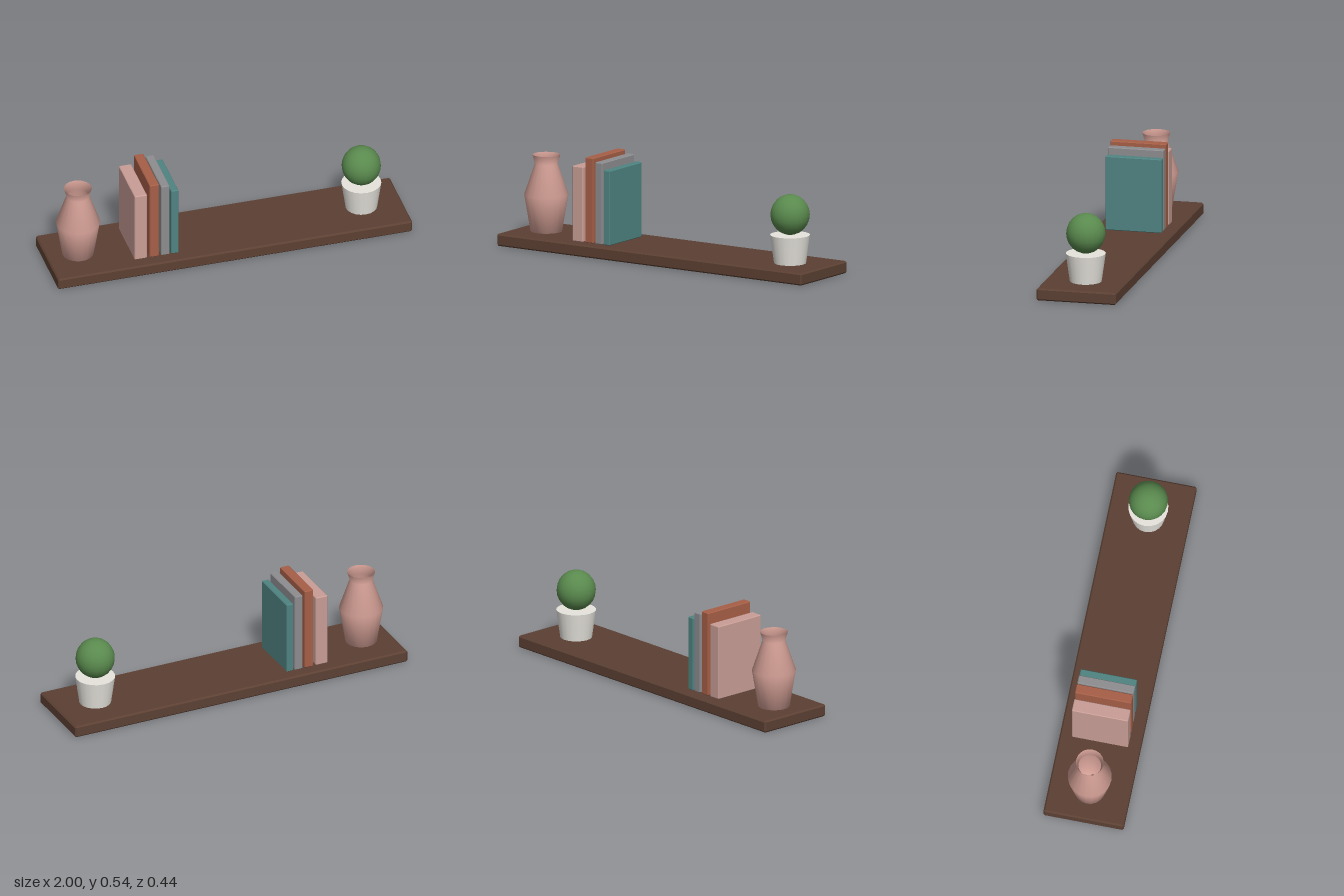
import * as THREE from 'three';
import { ConvexGeometry } from 'three/addons/geometries/ConvexGeometry.js';

function material(name, color, side = THREE.FrontSide) {
  const m = new THREE.MeshStandardMaterial({ color, side });
  m.name = name;
  return m;
}

// Box with every edge cut by a single flat chamfer
function chamferBox(w, h, d, c) {
  const points = [];
  for (const sx of [-1, 1]) for (const sy of [-1, 1]) for (const sz of [-1, 1]) {
    const x = w / 2, y = h / 2, z = d / 2;
    points.push(
      new THREE.Vector3(sx * x, sy * (y - c), sz * (z - c)),
      new THREE.Vector3(sx * (x - c), sy * y, sz * (z - c)),
      new THREE.Vector3(sx * (x - c), sy * (y - c), sz * z));
  }
  return new ConvexGeometry(points);
}

export function createModel() {
  const group = new THREE.Group();
  const shelfTop = 0.067;

  function add(name, geometry, mat, x, y, z = 0) {
    const mesh = new THREE.Mesh(geometry, mat);
    mesh.name = name;
    mesh.position.set(x, y, z);
    group.add(mesh);
    return mesh;
  }

  // Shelf board
  add('shelf', chamferBox(2, shelfTop, 0.444, 0.008), material('walnut', 0x5c4033), 0, shelfTop / 2);

  // Books: name, colour, left edge, right edge, top
  const books = [
    ['pinkBook', 0xc99e96, -0.549, -0.479, 0.482],
    ['terracottaBook', 0xa65f47, -0.464, -0.411, 0.538],
    ['greyBook', 0x8d8d90, -0.399, -0.352, 0.518],
    ['tealBook', 0x4f8482, -0.343, -0.302, 0.480],
  ];
  for (const [name, color, x0, x1, top] of books) {
    const h = top - shelfTop;
    add(name, chamferBox(x1 - x0, h, 0.311, 0.004), material(name + 'Cover', color),
      (x0 + x1) / 2, shelfTop + h / 2);
  }

  // Open vase with a floor, wide belly, narrow neck and flared rim
  const profile = [[0, 0], [0.086, 0], [0.12, 0.203], [0.062, 0.373], [0.076, 0.422]]
    .map(([r, y]) => new THREE.Vector2(r, y));
  add('vase', new THREE.LatheGeometry(profile, 20), material('rosePink', 0xd4a096, THREE.DoubleSide),
    -0.825, shelfTop);

  // Tapered pot
  const potHeight = 0.156;
  add('pot', new THREE.CylinderGeometry(0.109, 0.087, potHeight, 20), material('cream', 0xf0ede6),
    0.775, shelfTop + potHeight / 2);

  // Clipped ball of foliage
  const foliage = add('foliage', new THREE.SphereGeometry(0.107, 20, 12), material('leafGreen', 0x5a8a4e),
    0.775, 0.334);
  foliage.scale.y = 1.037;

  return group;
}
